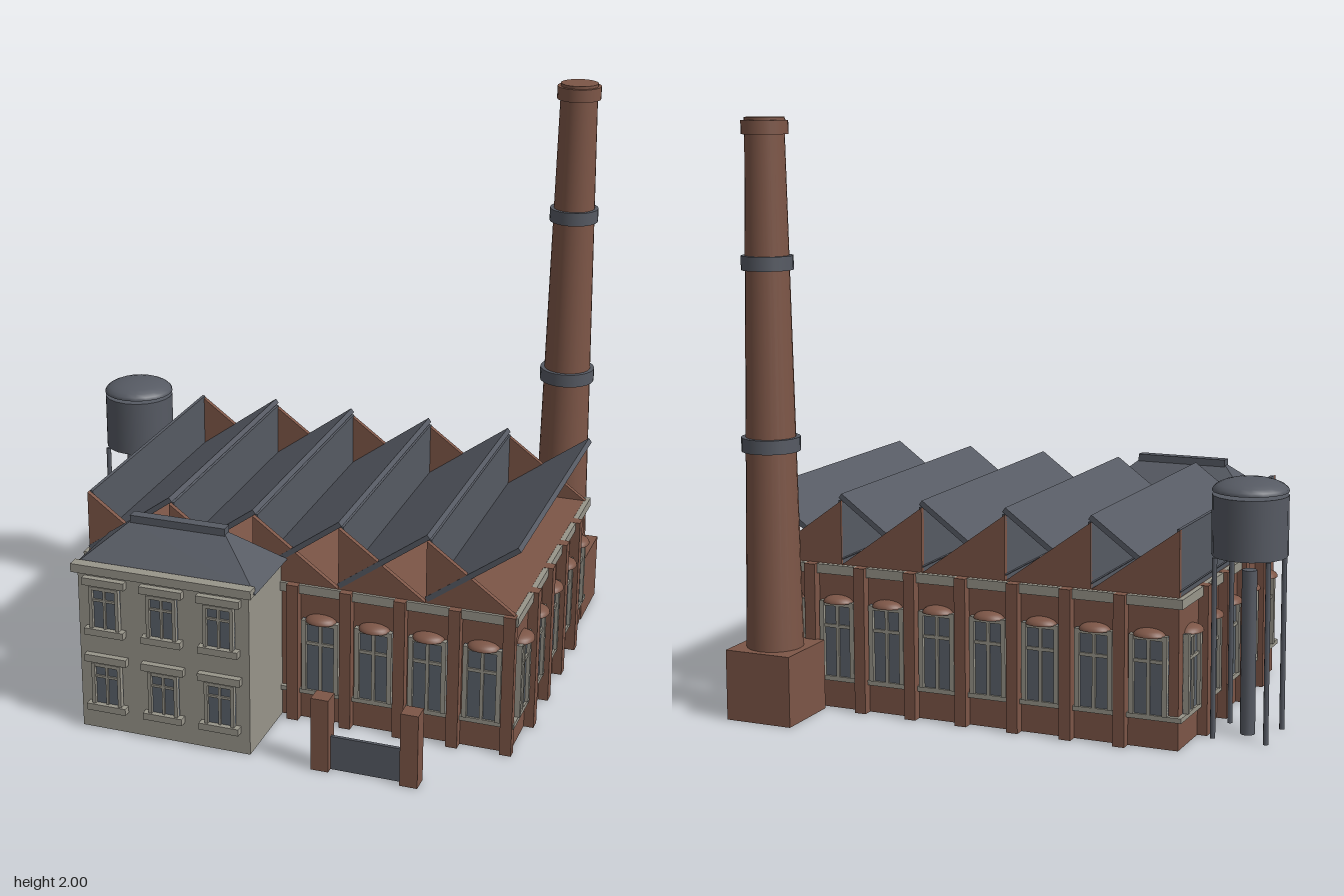
import * as THREE from 'three';
import { ConvexGeometry } from 'three/addons/geometries/ConvexGeometry.js';

const material = (name, color, side = THREE.FrontSide) => {
  const m = new THREE.MeshStandardMaterial({ color, side });
  m.name = name;
  return m;
};

export function createModel() {
  const brick = material('brick', 0x7d5647);
  const stone = material('stone', 0x98958a);
  const slate = material('slate', 0x565a63, THREE.DoubleSide);
  const glass = material('glass', 0x5b626b);
  const model = new THREE.Group();
  model.name = 'factory';

  const add = (parent, name, geometry, mat, x = 0, y = 0, z = 0) => {
    const mesh = new THREE.Mesh(geometry, mat);
    mesh.name = name;
    mesh.position.set(x, y, z);
    parent.add(mesh);
    return mesh;
  };
  const box = (parent, name, mat, w, h, d, x, y, z) =>
    add(parent, name, new THREE.BoxGeometry(w, h, d), mat, x, y, z);
  const group = (name, parent = model) => {
    const g = new THREE.Group();
    g.name = name;
    parent.add(g);
    return g;
  };

  // Window facing +z: glass pane, frame and glazing bars; y is its bottom
  const addWindow = (parent, x, y, z, w, h, bar) => {
    const g = group('window', parent);
    g.position.set(x, y, z);
    box(g, 'pane', glass, w, h, 0.008, 0, h / 2, 0.004);
    for (const s of [-1, 1]) box(g, 'frameSide', stone, bar, h, 0.02, s * (w - bar) / 2, h / 2, 0.01);
    box(g, 'frameTop', stone, w, bar, 0.018, 0, h - bar / 2, 0.009);
    box(g, 'mullion', stone, bar * 0.7, h, 0.015, 0, h / 2, 0.0075);
    box(g, 'transom', stone, w, bar * 0.7, 0.014, 0, h * 0.67, 0.007);
  };

  // Hall with stone courses
  const cx = 0.107, cz = -0.035, W = 1.505, D = 1.02, H = 0.502;
  const hall = group('hall');
  box(hall, 'hallBody', brick, W, H, D, cx, H / 2, cz);
  box(hall, 'sillCourse', stone, W + 0.03, 0.016, D + 0.03, cx, 0.105, cz);
  box(hall, 'cornice', stone, W + 0.035, 0.032, D + 0.035, cx, 0.485, cz);

  // Walls: bays with windows and hoods, pilasters between them
  const hoodGeo = new THREE.SphereGeometry(1, 16, 6, 0, Math.PI, 0, Math.PI / 2);
  const hoodBase = new THREE.CircleGeometry(1, 16, 0, Math.PI);
  const wall = (name, count, pitch, distance, angle, open = () => true) => {
    const g = group(name, hall);
    g.position.set(cx, 0, cz);
    g.rotation.y = angle;
    for (let i = 0; i < count; i++) {
      const x = (i - (count - 1) / 2) * pitch;
      if (!open(x + cx)) continue;
      addWindow(g, x, 0.113, distance, 0.13, 0.262, 0.016);
      const hood = group('windowHood', g);
      hood.position.set(x, 0.372, distance);
      hood.scale.set(0.055, 0.024, 0.045);
      add(hood, 'hoodTop', hoodGeo, brick);
      add(hood, 'hoodUnderside', hoodBase, brick).rotation.x = Math.PI / 2;
    }
    for (let i = 1; i < count; i++) {
      const x = (i - count / 2) * pitch;
      if (open(x + cx)) box(g, 'pilaster', brick, 0.04, H, 0.035, x, H / 2, distance + 0.0165);
    }
  };
  wall('frontWall', 8, 0.187, D / 2, 0, x => x < -0.5 || x > 0.08);
  wall('backWall', 8, 0.187, D / 2, Math.PI);
  wall('leftWall', 5, 0.202, W / 2, Math.PI / 2);
  wall('rightWall', 5, 0.202, W / 2, -Math.PI / 2);

  // Corner piers at the +x front
  box(hall, 'cornerPier', brick, 0.04, H, 0.03, 0.85, H / 2, 0.485);

  // Sawtooth roof: gables, upright glazing and sloping sheets
  const roof = group('sawtoothRoof');
  const pitch = 0.302, rise = 0.22;
  const tooth = new THREE.Shape([[0, 0], [pitch, 0], [0, rise]].map(p => new THREE.Vector2(...p)));
  const gable = new THREE.ExtrudeGeometry(tooth, { depth: 0.018, bevelEnabled: false });
  for (let i = 0; i < 5; i++) {
    const x = -0.645 + i * pitch;
    for (const z of [0.464, -0.543]) add(roof, 'gable', gable, brick, x, 0.5, z);
    box(roof, 'roofGlazing', slate, 0.012, rise, 1.0, x + 0.006, 0.5 + rise / 2, cz);
    box(roof, 'roofSheet', slate, 0.378, 0.018, 1.02, x + pitch / 2 + 0.004, 0.515 + rise / 2, -0.027)
      .rotation.z = Math.atan2(rise, pitch);
  }

  // Office block
  const office = group('office');
  const ox = -0.243;
  box(office, 'officeBody', stone, 0.605, 0.585, 0.31, ox, 0.2925, 0.622);
  box(office, 'officeCornice', stone, 0.635, 0.03, 0.04, ox, 0.59, 0.78);
  for (const y of [0.1, 0.38]) {
    for (const x of [-0.447, ox, -0.042]) {
      addWindow(office, x, y, 0.777, 0.105, 0.15, 0.012);
      box(office, 'lintel', stone, 0.15, 0.026, 0.025, x, y + 0.167, 0.787);
      box(office, 'sill', stone, 0.14, 0.024, 0.03, x, y - 0.012, 0.789);
    }
  }
  const hip = [];
  for (const sx of [-1, 1]) for (const sz of [-1, 1]) {
    hip.push(new THREE.Vector3(ox + sx * 0.325, 0.583, 0.628 + sz * 0.148));
    hip.push(new THREE.Vector3(ox + sx * 0.168, 0.715, 0.628 + sz * 0.012));
  }
  add(office, 'hipRoof', new ConvexGeometry(hip), slate);
  box(office, 'roofRidge', slate, 0.338, 0.026, 0.038, ox, 0.723, 0.626);

  // Chimney
  const chimney = group('chimney');
  chimney.position.set(0.74, 0, -0.69);
  const ring = (name, mat, r, y0, y1, rTop = r) =>
    add(chimney, name, new THREE.CylinderGeometry(rTop, r, y1 - y0, 24), mat, 0, (y0 + y1) / 2, 0);
  box(chimney, 'chimneyBase', brick, 0.24, 0.24, 0.24, 0, 0.12, 0);
  ring('shaft', brick, 0.096, 0.24, 1.96, 0.065);
  ring('lowerBand', slate, 0.098, 0.905, 0.952);
  ring('upperBand', slate, 0.086, 1.505, 1.552);
  ring('crown', brick, 0.077, 1.945, 1.99);
  ring('crownLip', brick, 0.066, 1.99, 2.0);

  // Water tank on legs
  const tank = group('waterTank');
  tank.position.set(-0.793, 0, -0.28);
  add(tank, 'tankBody', new THREE.CylinderGeometry(0.125, 0.125, 0.2, 20), slate, 0, 0.7, 0);
  const dome = add(tank, 'tankDome',
    new THREE.SphereGeometry(0.126, 20, 6, 0, Math.PI * 2, 0, Math.PI / 2), slate, 0, 0.812, 0);
  dome.scale.y = 0.34;
  for (const x of [-0.09, 0.09]) for (const z of [-0.09, 0.09])
    add(tank, 'leg', new THREE.CylinderGeometry(0.009, 0.009, 0.6, 8), slate, x, 0.3, z);
  add(tank, 'standpipe', new THREE.CylinderGeometry(0.025, 0.025, 0.55, 10), slate, 0, 0.275, 0);

  // Yard gate
  const gate = group('gate');
  for (const x of [0.308, 0.61]) box(gate, 'gatePillar', brick, 0.06, 0.26, 0.06, x, 0.13, 0.768);
  box(gate, 'gatePanel', slate, 0.25, 0.12, 0.012, 0.459, 0.06, 0.768);

  return model;
}
